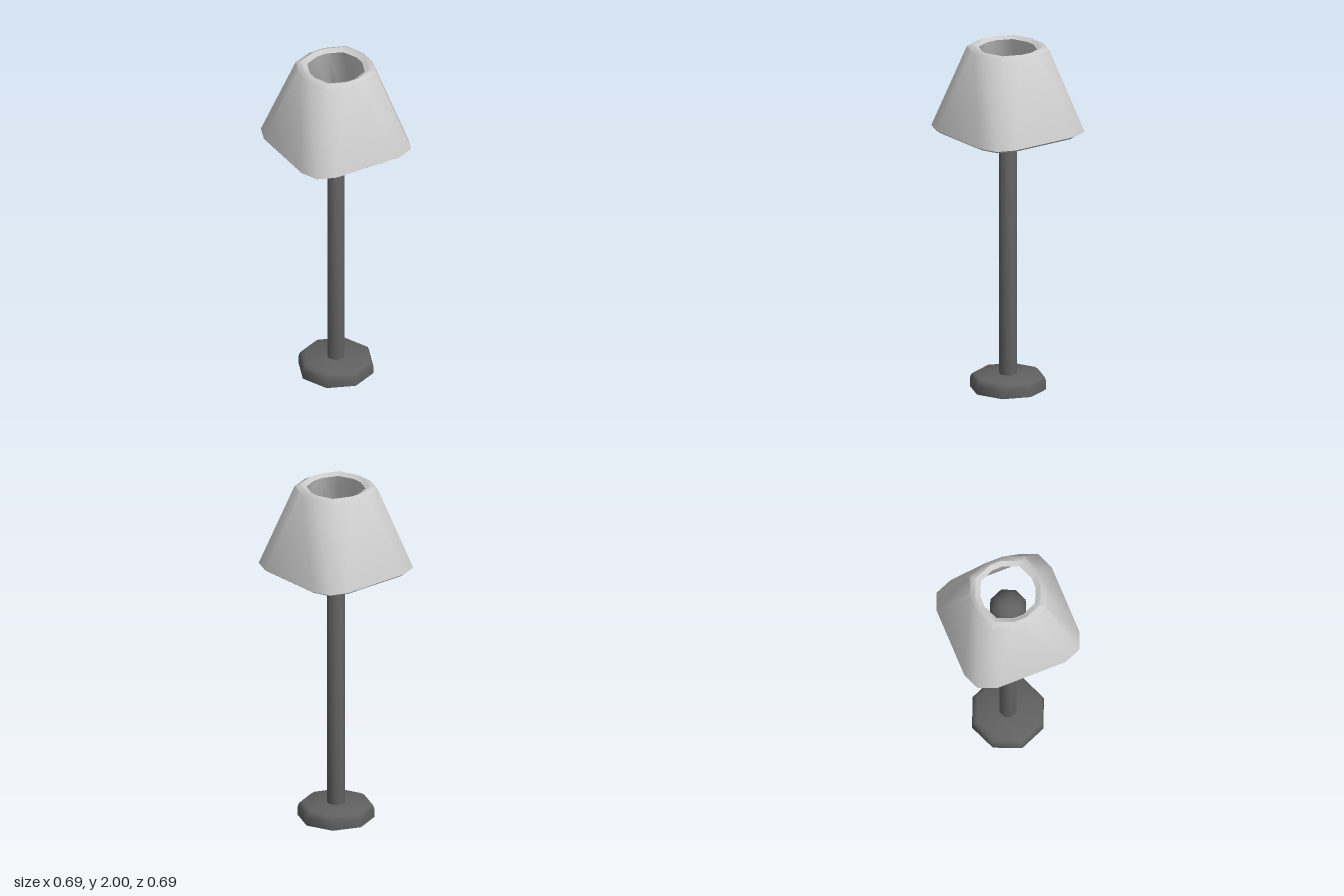
import * as THREE from 'three';
import { toCreasedNormals } from 'three/addons/utils/BufferGeometryUtils.js';

const CREASE = THREE.MathUtils.degToRad(50);
const dark = new THREE.MeshStandardMaterial({ color: 0x606060 });
const pale = new THREE.MeshStandardMaterial({ color: 0xcccccc });

function part(name, geometry, material) {
  const mesh = new THREE.Mesh(toCreasedNormals(geometry, CREASE), material);
  mesh.name = name;
  return mesh;
}

// Eight-sided turned part from [radius, height] pairs, listed bottom to top
function turned(name, profile) {
  const points = profile.map(([r, y]) => new THREE.Vector2(r, y));
  return part(name, new THREE.LatheGeometry(points, 8), dark);
}

// Twelve-sided ring: flat sides at distance a, half-width e, corner point (c, c)
function ring({ a, e, c, y }) {
  const points = [];
  for (let q = 0; q < 4; q++) {
    for (let [x, z] of [[e, a], [c, c], [a, e]]) {
      for (let i = 0; i < q; i++) [x, z] = [z, -x];
      points.push(x, y, z);
    }
  }
  return points;
}

// Hollow shade: a closed wall section, square below and nearly round above
function shadeGeometry() {
  const rings = [
    { a: 0.325, e: 0.19, c: 0.287, y: 1.5 },
    { a: 0.345, e: 0.205, c: 0.305, y: 1.515 },
    { a: 0.207, e: 0.05, c: 0.164, y: 1.985 },
    { a: 0.181, e: 0.035, c: 0.139, y: 2 },
    { a: 0.153, e: 0.03, c: 0.116, y: 1.985 },
    { a: 0.292, e: 0.17, c: 0.257, y: 1.515 },
  ];
  const index = [];
  for (let r = 0; r < rings.length; r++) {
    const next = (r + 1) % rings.length;
    for (let i = 0; i < 12; i++) {
      const j = (i + 1) % 12;
      const p = r * 12 + i, q = r * 12 + j, s = next * 12 + j, t = next * 12 + i;
      index.push(p, q, t, q, s, t);
    }
  }
  const geometry = new THREE.BufferGeometry();
  geometry.setAttribute('position', new THREE.Float32BufferAttribute(rings.flatMap(ring), 3));
  geometry.setIndex(index);
  return geometry;
}

export function createModel() {
  const lamp = new THREE.Group();
  lamp.name = 'floorLamp';

  // Foot with a rounded upper edge
  lamp.add(turned('base', [[0, 0], [0.215, 0], [0.215, 0.045], [0.207, 0.07], [0.185, 0.085], [0, 0.085]]));

  // Post with a chamfered top
  lamp.add(turned('pole', [[0.05, 0.08], [0.05, 1.515], [0.04, 1.53], [0, 1.53]]));

  // Bulb on a short narrow socket
  lamp.add(turned('socket', [[0.038, 1.525], [0.038, 1.54], [0.048, 1.55], [0.048, 1.575], [0.038, 1.59], [0, 1.59]]));
  const bulb = [[0.038, 1.585], [0.05, 1.61]];
  for (let i = 0; i <= 5; i++) {
    const angle = THREE.MathUtils.degToRad(-35 + i * 25);
    bulb.push([i === 5 ? 0 : 0.109 * Math.cos(angle), 1.73 + 0.109 * Math.sin(angle)]);
  }
  lamp.add(turned('bulb', bulb));

  lamp.add(part('shade', shadeGeometry(), pale));
  return lamp;
}
